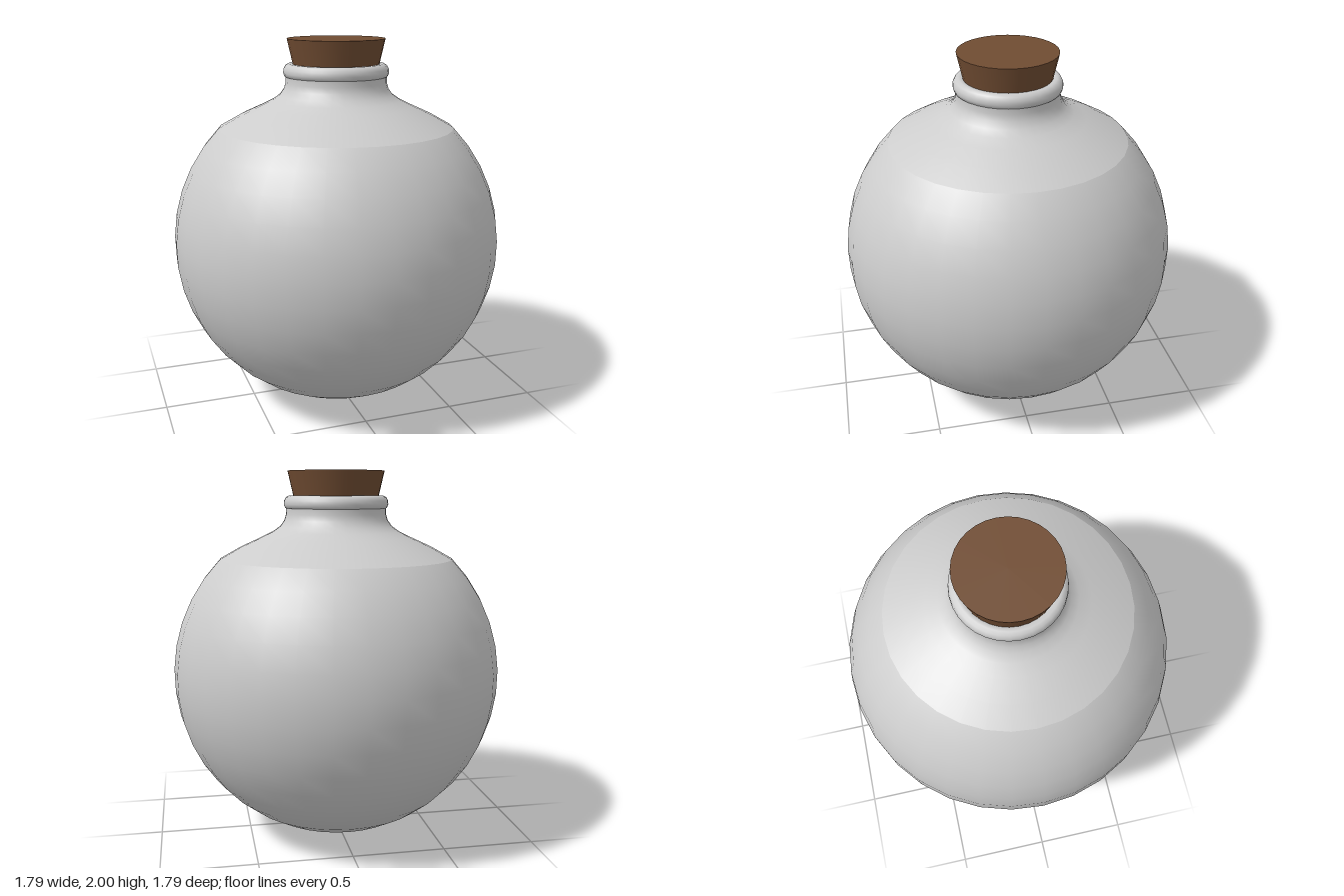
import * as THREE from 'three';

const SEGMENTS = 32;
const RADIUS = 0.897;

export function createModel() {
  const glass = new THREE.MeshStandardMaterial({ color: 0xcccccc });
  glass.name = 'pale grey glass';
  const cork = new THREE.MeshStandardMaterial({ color: 0x704c32 });
  cork.name = 'brown cork';

  const group = new THREE.Group();
  group.name = 'roundFlask';

  const add = (name, geometry, material, y = 0) => {
    const mesh = new THREE.Mesh(geometry, material);
    mesh.name = name;
    mesh.position.y = y;
    group.add(mesh);
  };
  // Profiles run from bottom to top as [radius, height]
  const lathe = (points) =>
    new THREE.LatheGeometry(points.map(([r, y]) => new THREE.Vector2(r, y)), SEGMENTS);

  // Round body, open above the 45 degree ring
  add('body', new THREE.SphereGeometry(RADIUS, SEGMENTS, 16, 0, Math.PI * 2, Math.PI / 4, Math.PI * 0.75), glass, RADIUS);

  // Sloping shoulder curving up into the neck
  const rim = RADIUS * Math.SQRT1_2;
  add('shoulderAndNeck', lathe([
    [rim, RADIUS + rim], [0.52, 1.595], [0.41, 1.645], [0.345, 1.677],
    [0.305, 1.705], [0.282, 1.737], [0.272, 1.77], [0.273, 1.805],
  ]), glass);

  // Rounded lip, closed inward beneath the stopper
  add('lip', lathe([
    [0.262, 1.795], [0.277, 1.803], [0.284, 1.822], [0.282, 1.842],
    [0.272, 1.86], [0.255, 1.869], [0.235, 1.868], [0.2, 1.85],
  ]), glass);

  // Tapered stopper, seated in the mouth
  add('stopper', new THREE.CylinderGeometry(0.262, 0.228, 0.15, SEGMENTS), cork, 1.925);

  return group;
}
